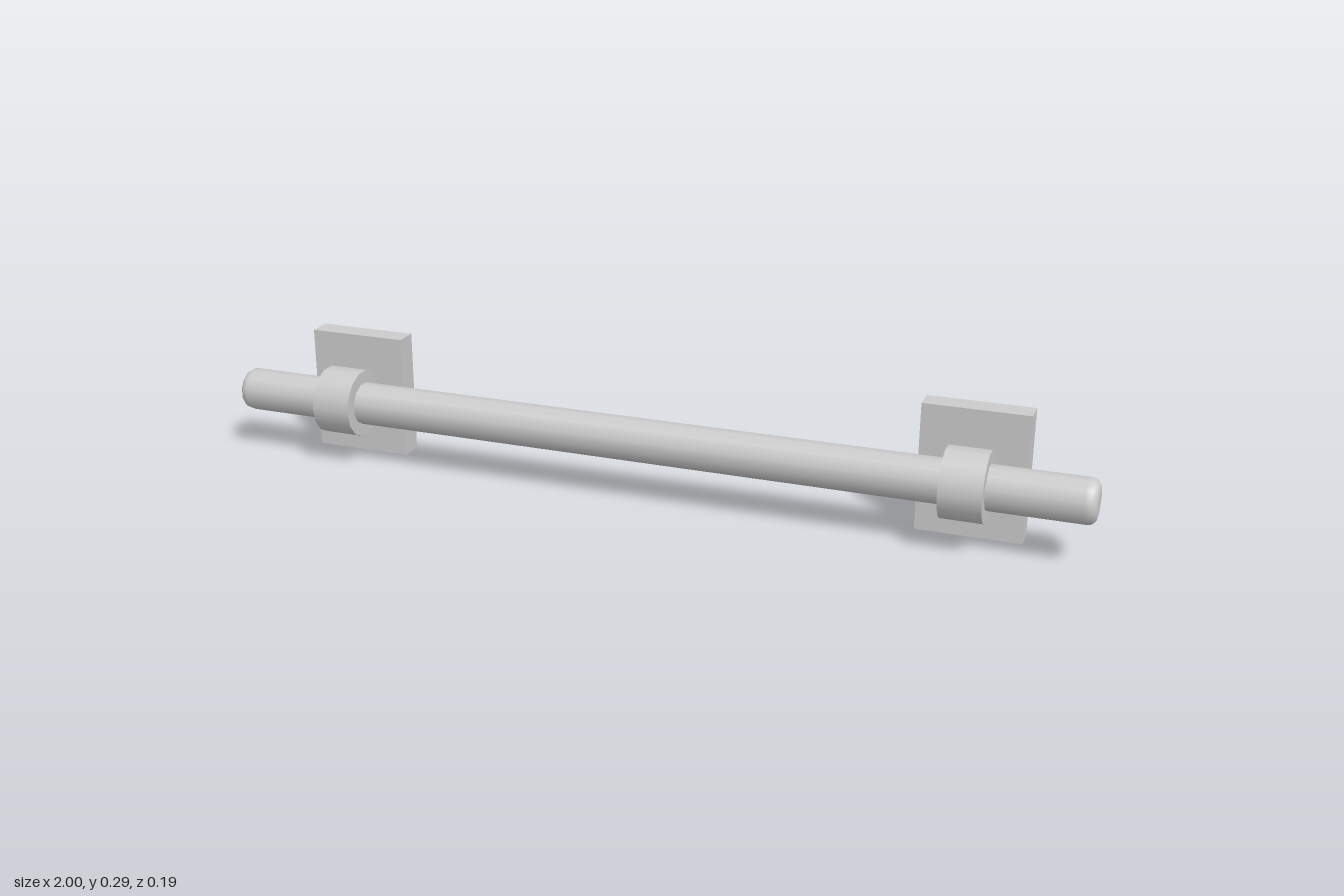
import * as THREE from 'three';

const AXIS_Y = 0.144, AXIS_Z = 0.019;

export function createModel() {
  const group = new THREE.Group();
  const material = new THREE.MeshStandardMaterial({ color: 0xcccccc });
  const add = (name, geometry, x, y, z) => {
    const mesh = new THREE.Mesh(geometry, material);
    mesh.name = name;
    mesh.position.set(x, y, z);
    group.add(mesh);
  };

  // Long bar: a lathed profile with rounded ends, turned along x
  const radius = 0.0495, round = 0.02;
  const half = [[0, 1], [radius - round - 0.003, 1]]; // radius, x
  for (let i = 0; i <= 4; i++) {
    const a = (i / 4) * Math.PI / 2;
    half.push([radius - round + round * Math.sin(a), 1 - round + round * Math.cos(a)]);
  }
  half.push([radius, 0.975]);
  const profile = [
    ...half.map(([r, x]) => new THREE.Vector2(r, -x)),
    ...half.slice().reverse().map(([r, x]) => new THREE.Vector2(r, x)),
  ];
  const bar = new THREE.LatheGeometry(profile, 12);
  bar.rotateY(Math.PI / 12).rotateZ(-Math.PI / 2);
  add('bar', bar, 0, AXIS_Y, AXIS_Z);

  // Two mounts: a collar around the bar and a square-edged wall plate
  for (const [side, x] of [['right', -0.733], ['left', 0.73]]) {
    const collar = new THREE.CylinderGeometry(0.0785, 0.0785, 0.092, 14).rotateZ(-Math.PI / 2);
    add(side + 'Collar', collar, x, AXIS_Y, AXIS_Z);
    add(side + 'WallPlate', new THREE.BoxGeometry(0.232, 0.288, 0.054), x, 0.144, -0.07);
  }
  return group;
}
